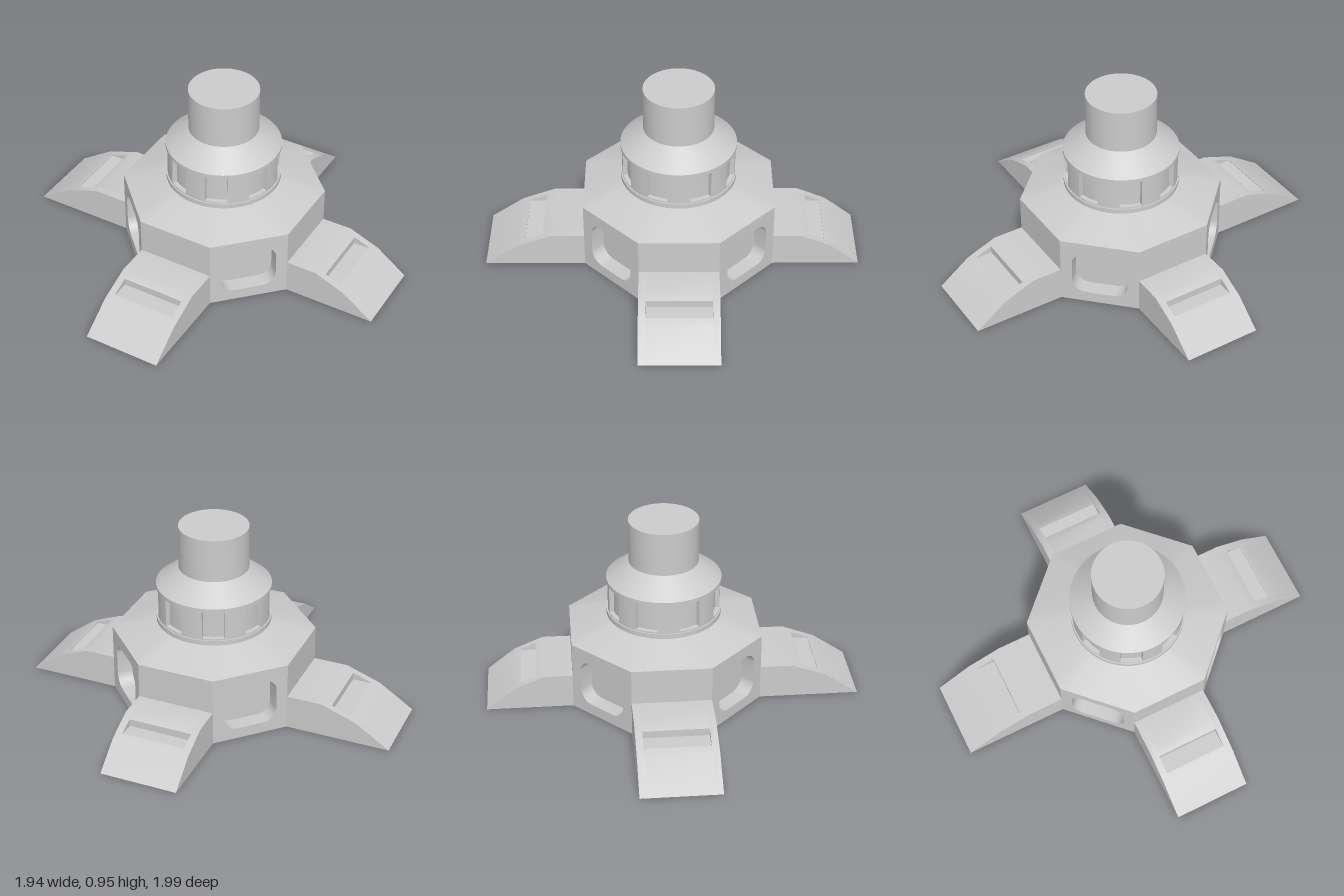
import * as THREE from 'three';
import { toCreasedNormals } from 'three/addons/utils/BufferGeometryUtils.js';

const R = 0.525;                              // octagon corner radius
const APO = R * Math.cos(Math.PI / 8);        // distance to a wall
const HALF = R * Math.sin(Math.PI / 8);       // half the width of a wall
const WALL_H = 0.365;
const material = new THREE.MeshStandardMaterial({ color: 0xcccccc });

function add(parent, name, geometry) {
  const mesh = new THREE.Mesh(toCreasedNormals(geometry, 0.5), material);
  mesh.name = name;
  parent.add(mesh);
  return mesh;
}

function polygon(points) {
  return new THREE.Shape(points.map(([x, y]) => new THREE.Vector2(x, y)));
}

function extrude(shape, depth) {
  return new THREE.ExtrudeGeometry(shape, { depth, bevelEnabled: false, curveSegments: 8 });
}

function roundedRect(w, y0, y1, r) {
  const p = new THREE.Path();
  p.absarc(w - r, y0 + r, r, -Math.PI / 2, 0);
  p.absarc(w - r, y1 - r, r, 0, Math.PI / 2);
  p.absarc(-w + r, y1 - r, r, Math.PI / 2, Math.PI);
  p.absarc(-w + r, y0 + r, r, Math.PI, Math.PI * 1.5);
  p.closePath();
  return p;
}

// Wall of the octagon, facing +z, with an optional recessed window
function buildWall(hasWindow) {
  const group = new THREE.Group();
  group.name = hasWindow ? 'windowWall' : 'plainWall';
  const depth = hasWindow ? 0.08 : 0.02;
  const shape = polygon([[-HALF, 0], [HALF, 0], [HALF, WALL_H], [-HALF, WALL_H]]);
  if (hasWindow) {
    shape.holes.push(roundedRect(0.142, 0.058, 0.302, 0.07));
    add(group, 'windowPane', new THREE.BoxGeometry(0.31, 0.27, 0.02).translate(0, 0.18, APO - depth - 0.01));
  }
  add(group, 'wallPanel', extrude(shape, depth).translate(0, 0, APO - depth));
  return group;
}

// Sloping leg reaching out along +z, with a level slot cut in its upper slope
function buildLeg(length) {
  const group = new THREE.Group();
  group.name = 'leg';
  const end = APO + length, slotHalf = 0.165, floor = 0.126;
  const at = (f) => end - f * length;         // f runs from the tip to the wall
  const height = (f) => 0.117 + (f - 0.333) * 0.189;
  const tip = [[APO - 0.02, 0], [end, 0], [at(0.333), 0.117]];
  const top = [[at(0.667), 0.18], [APO - 0.02, 0.18]];
  const slot = [[at(0.405), height(0.405)], [at(0.405), floor], [at(0.583), floor], [at(0.583), height(0.583)]];
  const slab = (name, points, v0, v1) =>
    add(group, name, extrude(polygon(points), v1 - v0).translate(0, 0, v0).rotateY(-Math.PI / 2));
  slab('legSide', [...tip, ...top], -HALF, -slotHalf);
  slab('legMiddle', [...tip, ...slot, ...top], -slotHalf, slotHalf);
  slab('legSide', [...tip, ...top], slotHalf, HALF);
  return group;
}

// Roof blending from the octagon to the round drum
function buildRoof() {
  const n = 64, position = [], index = [];
  for (let i = 0; i <= n; i++) {
    const a = (i / n) * Math.PI * 2;
    const local = (a % (Math.PI / 4)) - Math.PI / 8;
    const outer = APO / Math.cos(local);
    position.push(outer * Math.sin(a), WALL_H, outer * Math.cos(a));
    position.push(0.285 * Math.sin(a), 0.435, 0.285 * Math.cos(a));
    if (i < n) {
      const k = i * 2;
      index.push(k, k + 2, k + 1, k + 1, k + 2, k + 3);
    }
  }
  const geometry = new THREE.BufferGeometry();
  geometry.setAttribute('position', new THREE.Float32BufferAttribute(position, 3));
  geometry.setIndex(index);
  return geometry;
}

export function createModel() {
  const model = new THREE.Group();
  model.name = 'turretBase';
  const body = new THREE.Group();
  body.name = 'body';
  body.position.set(0.027, 0, 0.025);
  model.add(body);

  // Octagonal base: windows and legs alternate
  const legLengths = [0.477, 0.445, 0.541, 0.514];
  legLengths.forEach((length, i) => {
    const turn = Math.PI / 8 + (i * Math.PI) / 2;
    const wall = buildWall(false), leg = buildLeg(length), windowWall = buildWall(true);
    wall.rotation.y = leg.rotation.y = turn;
    windowWall.rotation.y = turn - Math.PI / 4;
    body.add(wall, leg, windowWall);
  });
  add(body, 'floor', new THREE.CircleGeometry(R, 8).rotateX(Math.PI / 2));
  add(body, 'roof', buildRoof());

  // Round tower: rims, recessed window band, cone and top cylinder
  const profile = [
    [0.295, 0.425], [0.295, 0.457], [0.288, 0.457], [0.288, 0.464], [0.264, 0.464], [0.264, 0.612],
    [0.288, 0.612], [0.288, 0.619], [0.295, 0.619], [0.295, 0.638], [0.179, 0.728], [0.179, 0.955], [0, 0.955],
  ].map(([r, y]) => new THREE.Vector2(r, y));
  add(body, 'tower', new THREE.LatheGeometry(profile, 64));

  // Piers between the eight drum windows
  const half = Math.PI / 8 - 0.199 + 0.001;
  for (let i = 0; i < 8; i++) {
    const mid = Math.PI / 8 + (i * Math.PI) / 4;
    const sector = new THREE.Shape();
    sector.absarc(0, 0, 0.288, mid - half, mid + half, false);
    sector.absarc(0, 0, 0.255, mid + half, mid - half, true);
    sector.closePath();
    add(body, 'windowPier', extrude(sector, 0.15).rotateX(-Math.PI / 2).translate(0, 0.463, 0));
  }
  return model;
}
